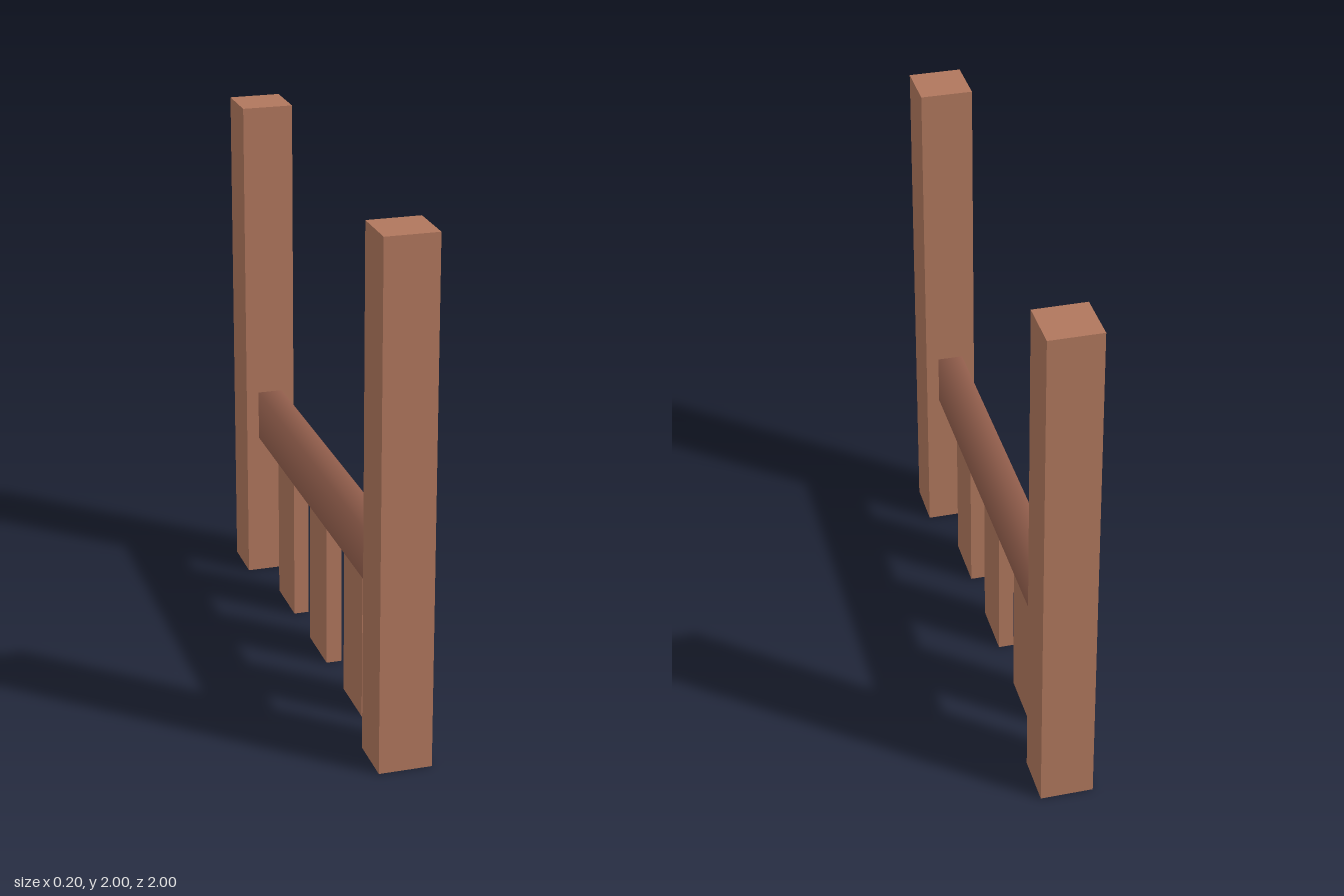
import * as THREE from 'three';
import { mergeVertices, toCreasedNormals } from 'three/addons/utils/BufferGeometryUtils.js';

const wood = new THREE.MeshStandardMaterial({ name: 'light wood', color: 0xb0775d });
const railWood = new THREE.MeshStandardMaterial({ name: 'dark wood', color: 0x925e4c });

function addBox(parent, name, size, position) {
  const mesh = new THREE.Mesh(new THREE.BoxGeometry(...size), wood);
  mesh.name = name;
  mesh.position.set(...position);
  parent.add(mesh);
}

// Open strip over the sides and top: soft shading on the upper edges, crisp bottom edges
function softRailGeometry(width, height, length) {
  const box = new THREE.BoxGeometry(width, height, length);
  const index = Array.from(box.index.array);
  // Box face order is +x, -x, +y, -y, +z, -z with six indices each
  box.setIndex(index.slice(0, 18));
  box.deleteAttribute('normal');
  box.deleteAttribute('uv');
  box.clearGroups();
  const strip = mergeVertices(box);
  return toCreasedNormals(strip, Math.PI * 0.6);
}

export function createModel() {
  const model = new THREE.Group();
  model.name = 'fenceSection';

  // Tall square end posts
  for (const side of [1, -1]) {
    addBox(model, side > 0 ? 'frontPost' : 'backPost', [0.2, 2, 0.2], [0, 1, side * 0.9]);
  }

  // Horizontal rail between the posts
  const rail = new THREE.Group();
  rail.name = 'rail';
  const body = new THREE.Mesh(softRailGeometry(0.1, 0.2, 1.6), railWood);
  body.name = 'railBody';
  const underside = new THREE.Mesh(new THREE.PlaneGeometry(0.1, 1.6), railWood);
  underside.name = 'railUnderside';
  underside.rotation.x = Math.PI / 2;
  underside.position.y = -0.1;
  rail.add(body, underside);
  rail.position.y = 0.7;
  model.add(rail);

  // Three thin slats under the rail
  for (let i = -1; i <= 1; i++) {
    addBox(model, 'slat', [0.06, 0.6, 0.23], [0, 0.3, i * 0.457]);
  }
  return model;
}
